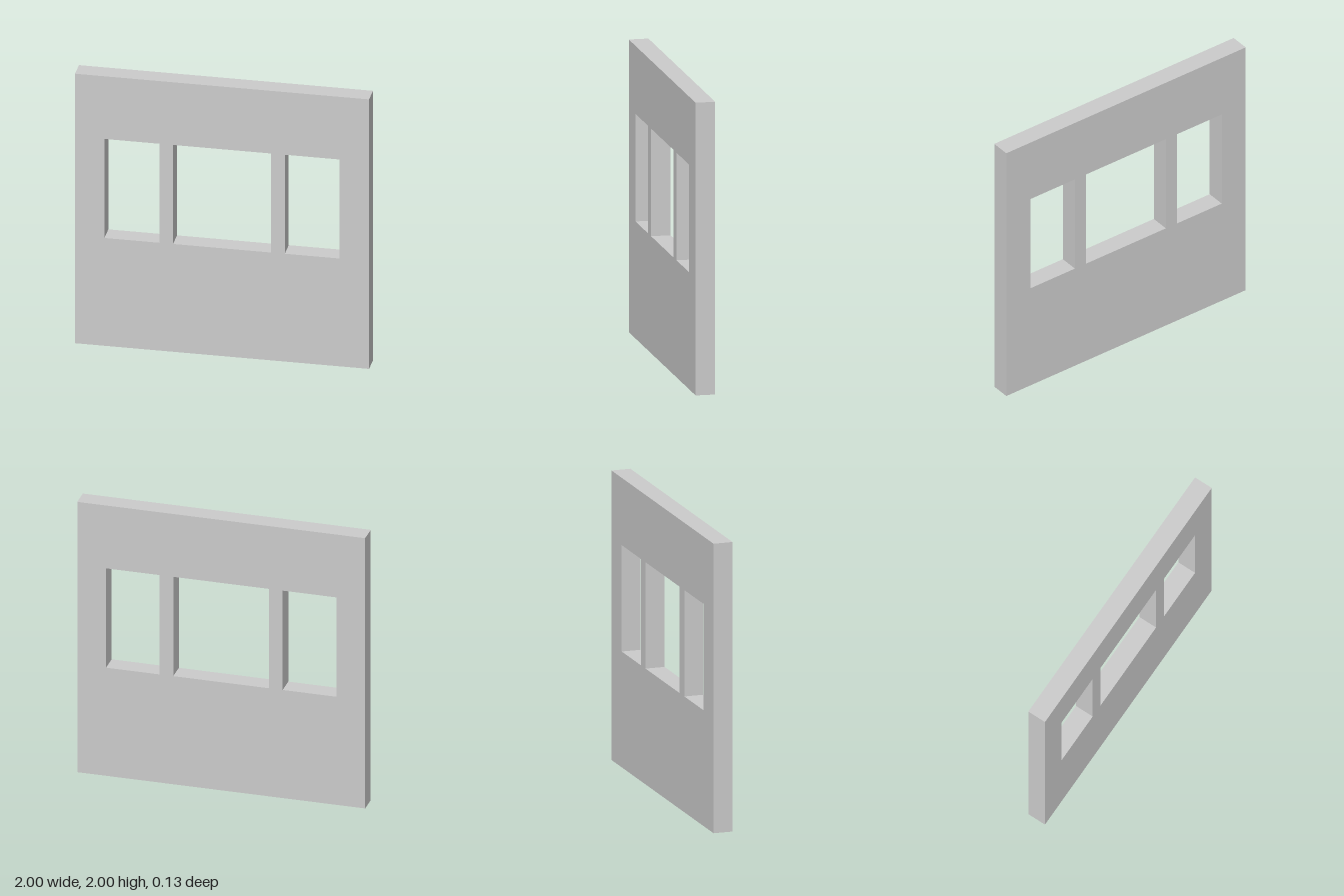
import * as THREE from 'three';

const DEPTH = 0.134;

// Closed rectangular outline between two corners
function rectangle(path, x0, y0, x1, y1) {
  path.moveTo(x0, y0);
  path.lineTo(x1, y0);
  path.lineTo(x1, y1);
  path.lineTo(x0, y1);
  path.closePath();
  return path;
}

export function createModel() {
  const group = new THREE.Group();
  group.name = 'windowWall';

  // Square wall slab
  const outline = rectangle(new THREE.Shape(), -1, 0, 1, 2);

  // Narrow, wide and narrow window openings at one sill height
  const sill = 0.8, head = 1.535;
  for (const [left, right] of [[-0.8, -0.427], [-0.333, 0.333], [0.427, 0.8]]) {
    outline.holes.push(rectangle(new THREE.Path(), left, sill, right, head));
  }

  const geometry = new THREE.ExtrudeGeometry(outline, { depth: DEPTH, bevelEnabled: false });
  geometry.translate(0, 0, -DEPTH / 2);

  const wall = new THREE.Mesh(
    geometry,
    new THREE.MeshStandardMaterial({ color: 0xcccccc, flatShading: true })
  );
  wall.name = 'wall';
  group.add(wall);
  return group;
}
